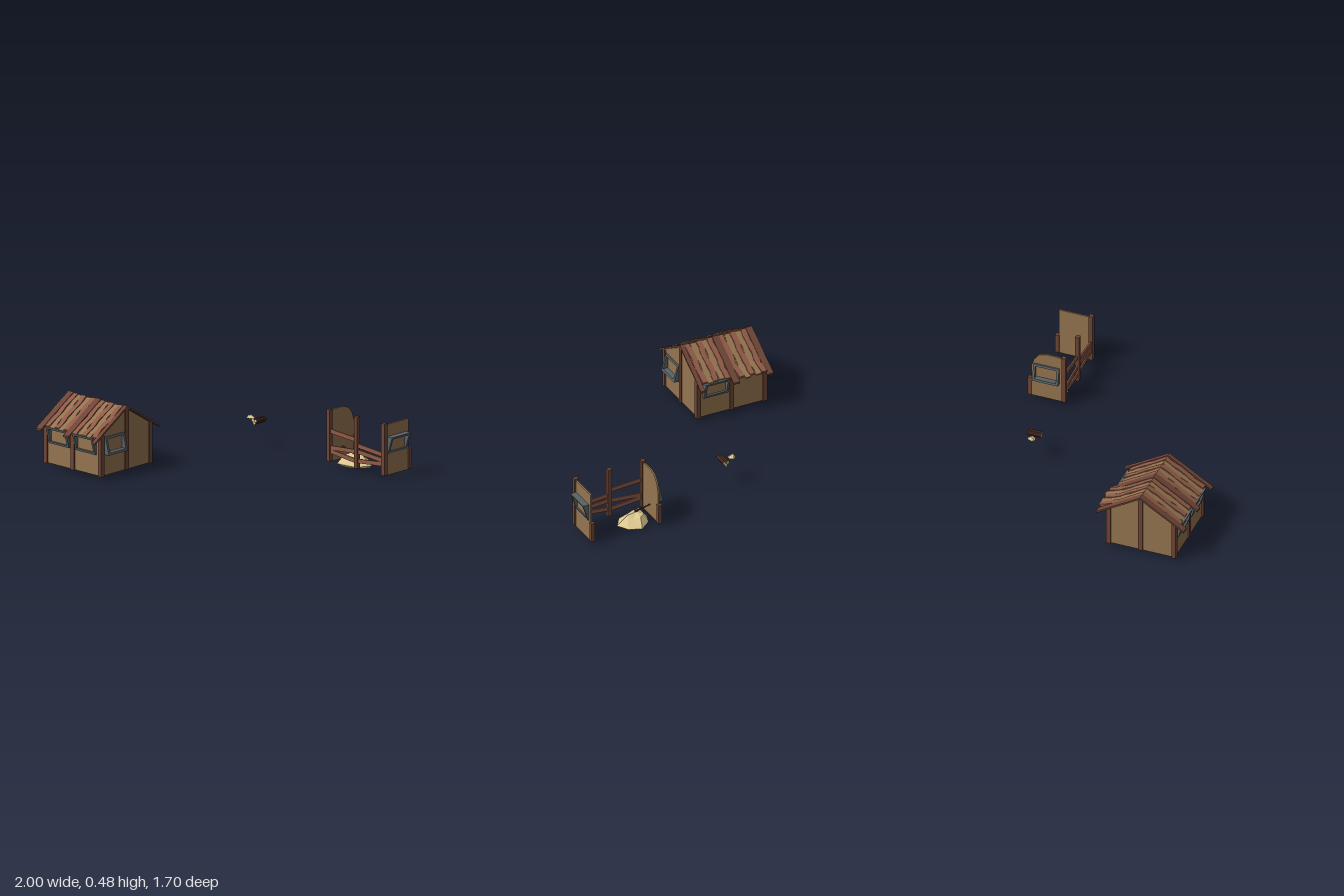
import * as THREE from 'three';

const mat = (color) => new THREE.MeshStandardMaterial({ color, flatShading: true });
const WOOD = mat(0x6e4536), PLANK = mat(0x8f5a47), TAN = mat(0x94744f);
const GREY = mat(0x596266), SAND = mat(0xdcc890), DARK = mat(0x553529);

function add(parent, name, geo, material, x = 0, y = 0, z = 0) {
  const m = new THREE.Mesh(geo, material);
  m.name = name;
  m.position.set(x, y, z);
  parent.add(m);
  return m;
}

// Box given by its min and max corners
function span(parent, name, material, x0, x1, y0, y1, z0, z1) {
  return add(parent, name, new THREE.BoxGeometry(x1 - x0, y1 - y0, z1 - z0), material,
    (x0 + x1) / 2, (y0 + y1) / 2, (z0 + z1) / 2);
}

function post(parent, x, z, y0, y1, w = 0.03) {
  return span(parent, 'post', WOOD, x - w / 2, x + w / 2, y0, y1, z - w / 2, z + w / 2);
}

// Hollow frame facing +z whose front slopes between two depths
function windowFrame(parent, x, y, z, turn, bottom, top) {
  const w = 0.19, h = 0.125, b = 0.016;
  const rect = (P, a, c) => {
    const p = new P();
    p.moveTo(-a, -c); p.lineTo(a, -c); p.lineTo(a, c); p.lineTo(-a, c); p.closePath();
    return p;
  };
  const shape = rect(THREE.Shape, w / 2, h / 2);
  shape.holes.push(rect(THREE.Path, w / 2 - b, h / 2 - b));
  const geo = new THREE.ExtrudeGeometry(shape, { depth: 1, bevelEnabled: false });
  const p = geo.attributes.position;
  for (let i = 0; i < p.count; i++) {
    const depth = THREE.MathUtils.lerp(bottom, top, p.getY(i) / h + 0.5);
    p.setZ(i, p.getZ(i) * depth);
  }
  geo.computeVertexNormals();
  add(parent, 'windowFrame', geo, GREY, x, y, z).rotation.y = turn;
}

// Wall in the y-z plane from [z, y] points
function sideWall(parent, name, x, points) {
  const shape = new THREE.Shape(points.map(([z, y]) => new THREE.Vector2(-z, y)));
  const geo = new THREE.ExtrudeGeometry(shape, { depth: 0.012, bevelEnabled: false });
  geo.translate(0, 0, -0.006);
  add(parent, name, geo, TAN, x).rotation.y = Math.PI / 2;
}

// Roof board on one slope: runs from the ridge to the eave, wavy and optionally lifted at its end
const RIDGE_Z = 0.523, SLOPE = 0.62;
function roofBoard(parent, name, material, x, side, len, width, thick, top, wave = 0, phase = 0, lift = 0) {
  const geo = new THREE.BoxGeometry(width, thick, len, 1, 1, 8);
  geo.translate(0, 0, side * len / 2);
  const p = geo.attributes.position;
  for (let i = 0; i < p.count; i++) {
    const d = Math.abs(p.getZ(i));
    const edge = Math.sign(p.getX(i));
    p.setX(i, p.getX(i) + wave * (Math.sin(d * 38 + phase) + 0.5 * Math.sin(d * 71 + phase * 2 + edge)));
    p.setY(i, p.getY(i) - SLOPE * d + lift * Math.max(0, d - 0.22) / 0.1);
  }
  geo.computeVertexNormals();
  add(parent, name, geo, material, x, top - thick / 2, RIDGE_Z);
}

function createHouse() {
  const g = new THREE.Group();
  g.name = 'house';
  const x0 = -0.97, xm = -0.713, x1 = -0.455, zf = 0.768, zb = 0.285;

  // Walls
  for (const z of [zf, zb]) span(g, 'longWall', TAN, x0, x1, 0.028, 0.318, z - 0.006, z + 0.006);
  for (const x of [x0, x1]) {
    sideWall(g, 'gableWall', x, [[zf, 0.028], [zb, 0.028], [zb, 0.318], [RIDGE_Z, 0.465], [zf, 0.318]]);
    post(g, x, RIDGE_Z, 0.028, 0.468, 0.032);
  }
  for (const x of [x0, xm, x1]) for (const z of [zf, zb]) post(g, x, z, 0.025, 0.32, 0.032);

  // Windows
  windowFrame(g, -0.84, 0.238, zf, 0, 0.016, 0.05);
  windowFrame(g, -0.588, 0.238, zf, 0, 0.016, 0.05);
  windowFrame(g, -0.588, 0.238, zb, Math.PI, 0.018, 0.052);
  windowFrame(g, x1, 0.24, 0.643, Math.PI / 2, 0.047, 0.014);

  // Roof: base sheet and alternating wavy planks in two bays
  const bays = [{ x: -0.842, back: 0.322 }, { x: -0.581, back: 0.275 }];
  bays.forEach((bay, b) => {
    for (const side of [1, -1]) {
      const len = side > 0 ? 0.285 : bay.back;
      const lift = side < 0 && b === 0 ? 0.03 : 0;
      roofBoard(g, 'roofSheet', TAN, bay.x, side, len - 0.012, 0.215, 0.008, 0.47, 0, 0, lift);
      for (let i = 0; i < 5; i++) {
        const x = bay.x + (i - 2) * 0.043;
        const l = len + 0.007 * Math.sin(i * 2.7 + b);
        const pale = i % 2 === 1;
        roofBoard(g, 'roofPlank', pale ? TAN : PLANK, x, side, l, 0.04, 0.01, pale ? 0.476 : 0.481,
          0.004, i * 1.9 + b + side, lift);
      }
    }
  });

  // Long heavy boards over the ends and the middle
  for (const [x, w] of [[-0.973, 0.05], [-0.713, 0.05], [-0.453, 0.032]])
    for (const side of [1, -1]) roofBoard(g, 'roofBatten', WOOD, x, side, 0.325, w, 0.014, 0.485, 0.0008, x * 90);
  return g;
}

function createRuin() {
  const g = new THREE.Group();
  g.name = 'ruin';
  const x0 = 0.425, xm = 0.686, x1 = 0.945, zf = -0.59, zb = -0.838;

  // Side walls, one with a worn top corner
  sideWall(g, 'brokenWall', x0, [[zf, 0.025], [-0.83, 0.025], [-0.83, 0.27], [-0.812, 0.33], [-0.775, 0.378],
    [-0.72, 0.395], [-0.64, 0.395], [zf, 0.385]]);
  sideWall(g, 'sideWall', x1, [[zf, 0.025], [-0.826, 0.025], [-0.826, 0.39], [zf, 0.39]]);
  windowFrame(g, x0, 0.24, -0.715, -Math.PI / 2, 0.046, 0.018);
  windowFrame(g, x1, 0.24, -0.708, Math.PI / 2, 0.012, 0.053);

  // Posts
  for (const x of [x0, xm, x1]) post(g, x, zf, 0.03, 0.402);
  for (const x of [x0, x1]) post(g, x, zb, 0.03, 0.175);

  // Crooked rails
  const rails = [
    [x0, 0.247, xm, 0.23], [x0, 0.127, xm, 0.147], [x0, 0.103, xm, 0.078],
    [xm, 0.193, x1, 0.172], [xm, 0.15, x1, 0.132], [xm, 0.082, x1, 0.108],
  ];
  for (const [ax, ay, bx, by] of rails) {
    const geo = new THREE.BoxGeometry(Math.hypot(bx - ax, by - ay), 0.03, 0.01);
    add(g, 'rail', geo, PLANK, (ax + bx) / 2, (ay + by) / 2, zf).rotation.z = Math.atan2(by - ay, bx - ax);
  }
  return g;
}

// Faceted heap: rings of an irregular outline shrinking towards an off-centre top
function heap(parent, name, outline, height, cx, cz, y) {
  const n = outline.length, levels = [[0.82, 0], [1, 0.2], [0.52, 0.8]];
  const lean = -0.22 * outline[0][0];
  const pos = [], idx = [];
  levels.forEach(([s, h], l) => outline.forEach(([x, z], i) =>
    pos.push(x * s + lean * h, h * height * (l ? 1 + 0.16 * Math.sin(i * 2.3 + l) : 1), z * s)));
  const top = levels.length * n;
  pos.push(lean, height, 0, 0, 0, 0);
  for (let i = 0; i < n; i++) {
    const j = (i + 1) % n;
    for (let l = 0; l < levels.length - 1; l++) {
      const a = l * n + i, b = l * n + j;
      idx.push(a, b, a + n, b, b + n, a + n);
    }
    idx.push(top - n + i, top - n + j, top, j, i, top + 1);
  }
  const geo = new THREE.BufferGeometry();
  geo.setAttribute('position', new THREE.Float32BufferAttribute(pos, 3));
  geo.setIndex(idx);
  geo.computeVertexNormals();
  add(parent, name, geo, SAND, cx, y, cz);
}

export function createModel() {
  const g = new THREE.Group();
  g.name = 'settlement';
  g.add(createHouse(), createRuin());

  // Sand heap with a stick in it
  const outline = [[0.135, -0.01], [0.085, -0.085], [-0.005, -0.12], [-0.085, -0.06],
    [-0.115, 0.03], [-0.085, 0.105], [-0.01, 0.108], [0.075, 0.08]];
  heap(g, 'sandHeap', outline, 0.086, 0.566, -0.717, 0);
  add(g, 'stick', new THREE.CylinderGeometry(0.005, 0.005, 0.11, 6), DARK, 0.485, 0.1, -0.711).rotation.z = Math.PI / 2 - 0.2;
  add(g, 'stickEnd', new THREE.CylinderGeometry(0.013, 0.01, 0.02, 6), DARK, 0.538, 0.09, -0.711);

  // Small heap
  heap(g, 'smallHeap', outline.map(([x, z]) => [x * 0.24, z * 0.26]), 0.023, -0.283, -0.553, 0.204);

  // Stack of three logs with pale ends
  for (const [x, y] of [[-0.226, 0.209], [-0.2, 0.209], [-0.213, 0.19]]) {
    const log = add(g, 'log', new THREE.CylinderGeometry(0.0125, 0.0125, 0.1, 8), [DARK, SAND, SAND], x, y, -0.558);
    log.rotation.x = Math.PI / 2;
  }
  return g;
}
